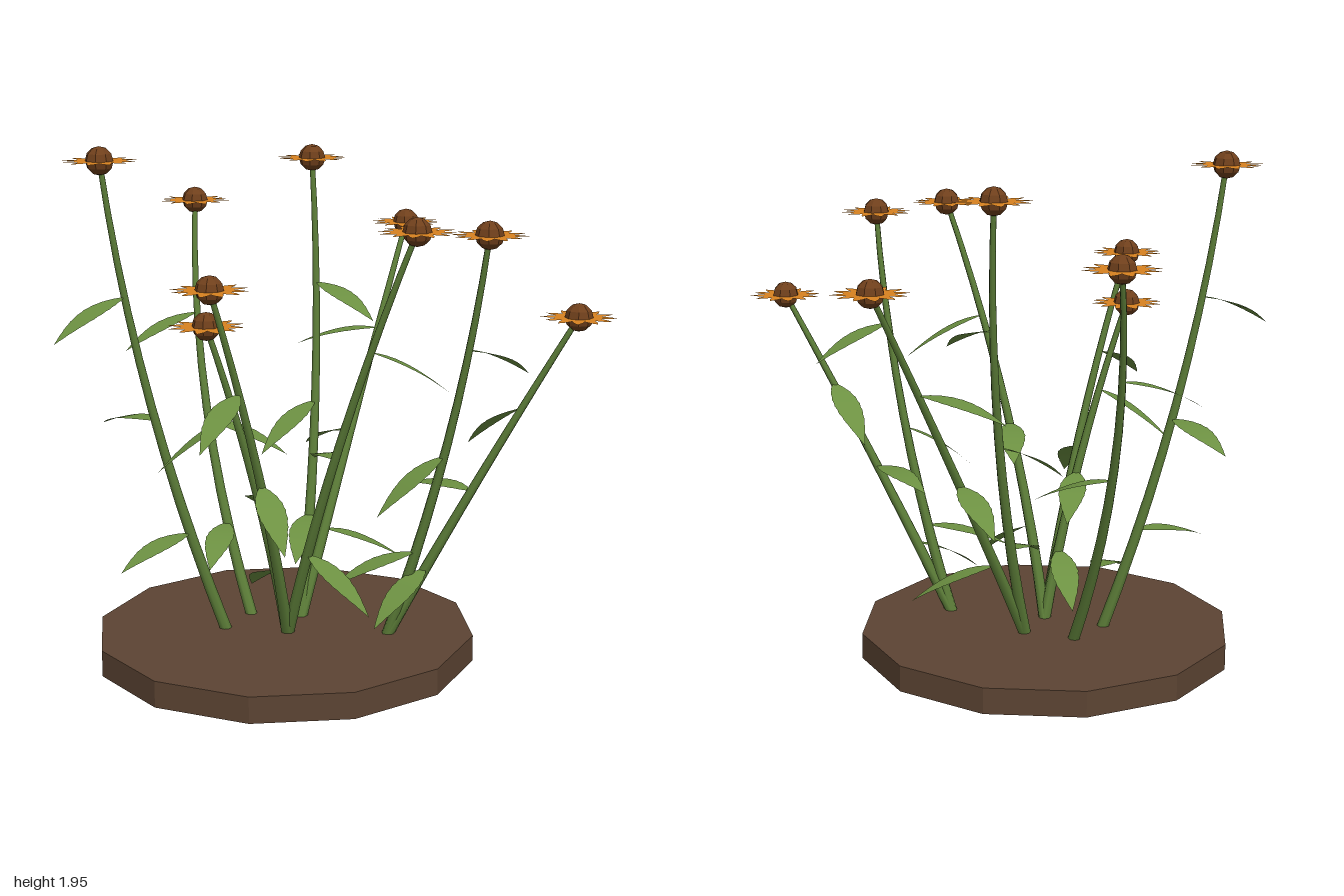
import * as THREE from 'three';

const mat = (name, color, opts = {}) => {
  const m = new THREE.MeshStandardMaterial({ color, ...opts });
  m.name = name;
  return m;
};

// Stems rise from five spots in the soil (x, z)
const leftFront = [-0.45, 0.17], leftBack = [-0.385, 0], middleFront = [-0.21, 0.18];
const middleBack = [-0.19, 0], right = [0.165, 0.14];

// head: flower position; bend: sideways bow of the stem (x, z);
// leaves from top to bottom: [heading in degrees, drop of the tip]
const plants = [
  { root: leftFront, head: [-0.85, 1.895, 0.335], bend: [-0.05, 0.02], leaves: [[127, 0.13], [220, 0.07], [126, 0.08]] },
  { root: leftBack, head: [-0.705, 1.64, -0.545], bend: [-0.065, 0.01], leaves: [[137, 0.12], [7, 0.12], [90, 0.09]] },
  { root: middleFront, head: [-0.39, 1.495, 0.64], bend: [0.035, 0.035], leaves: [[104, 0.145], [63, 0.18]] },
  { root: middleFront, head: [-0.445, 1.33, 0.455], bend: [0.03, 0.02], leaves: [[165, 0.2], [259, 0.12], [242, 0.15]] },
  { root: middleBack, head: [-0.21, 1.83, -0.433], bend: [0.025, -0.065], leaves: [[39, 0.11], [123, 0.16], [90, 0.1]] },
  { root: middleBack, head: [0.123, 1.54, -0.749], bend: [0, 0.015], leaves: [[182, 0.08], [227, 0.12], [340, 0.14]] },
  { root: middleFront, head: [0.305, 1.685, 0.465], bend: [-0.03, 0.045], leaves: [[340, 0.17], [248, 0.08], [31, 0.18]] },
  { root: right, head: [0.543, 1.655, 0.31], bend: [0.04, -0.02], leaves: [[309, 0.13], [141, 0.19], [152, 0.1]] },
  { root: right, head: [0.856, 1.335, 0.123], bend: [-0.01, 0], leaves: [[222, 0.19], [215, 0.035], [122, 0.16]] },
];
const leafSpots = [0.725, 0.465, 0.22];
const leafLength = 0.345;

function stemCurve({ root, head, bend }) {
  const a = new THREE.Vector3(root[0], 0.09, root[1]);
  const c = new THREE.Vector3(...head);
  const control = a.clone().lerp(c, 0.5).add(new THREE.Vector3(2 * bend[0], 0, 2 * bend[1]));
  return new THREE.QuadraticBezierCurve3(a, control, c);
}

// Tube that narrows towards the flower
function stemGeometry(curve) {
  const rings = 10, sides = 7;
  const geo = new THREE.TubeGeometry(curve, rings, 0.023, sides, false);
  const pos = geo.attributes.position, v = new THREE.Vector3();
  for (let i = 0; i < pos.count; i++) {
    const t = Math.floor(i / (sides + 1)) / rings;
    const centre = curve.getPointAt(t);
    v.fromBufferAttribute(pos, i).sub(centre).multiplyScalar(1 - 0.55 * t).add(centre);
    pos.setXYZ(i, v.x, v.y, v.z);
  }
  return geo;
}

// Arched, pointed leaf with a finely toothed edge
function leafGeometry(base, heading, drop) {
  const angle = THREE.MathUtils.degToRad(heading);
  const out = new THREE.Vector3(Math.cos(angle), 0, Math.sin(angle));
  const side = new THREE.Vector3(-out.z, 0, out.x);
  const tip = base.clone().addScaledVector(out, Math.sqrt(leafLength ** 2 - drop ** 2));
  tip.y -= drop;
  const control = base.clone().lerp(tip, 0.5);
  control.y += 0.045;
  const curve = new THREE.QuadraticBezierCurve3(base, control, tip);
  const n = 18, points = [], index = [];
  for (let i = 0; i <= n; i++) {
    const t = i / n, p = curve.getPoint(t);
    const w = 0.054 * Math.sin(Math.PI * Math.pow(t, 0.85)) * (i % 2 ? 0.94 : 1);
    for (const s of [-1, 0, 1]) {
      const q = p.clone().addScaledVector(side, s * w);
      points.push(q.x, q.y, q.z);
    }
    if (i === n) continue;
    for (let k = 0; k < 2; k++) {
      const j = i * 3 + k;
      index.push(j, j + 1, j + 3, j + 1, j + 4, j + 3);
    }
  }
  const geo = new THREE.BufferGeometry();
  geo.setAttribute('position', new THREE.Float32BufferAttribute(points, 3));
  geo.setIndex(index);
  geo.computeVertexNormals();
  return geo;
}

// Flat ring of twelve pointed petals
function petalGeometry() {
  const outline = [];
  const add = (deg, r) => {
    const t = THREE.MathUtils.degToRad(deg);
    outline.push(new THREE.Vector2(r * Math.cos(t), r * Math.sin(t)));
  };
  for (let d = 0; d < 360; d += 30) {
    add(d - 15, 0.084);
    add(d - 8, 0.112);
    add(d, 0.14);
    add(d + 8, 0.112);
  }
  return new THREE.ShapeGeometry(new THREE.Shape(outline)).rotateX(-Math.PI / 2);
}

export function createModel() {
  const model = new THREE.Group();
  model.name = 'flowerPatch';
  const soil = mat('soil brown', 0x5c4433, { flatShading: true });
  const stemGreen = mat('stem green', 0x5c7d38);
  const leafGreen = mat('leaf green', 0x6d9142, { side: THREE.DoubleSide });
  const orange = mat('petal orange', 0xd88220, { side: THREE.DoubleSide });
  const brown = mat('flower centre brown', 0x70401c, { flatShading: true });

  const add = (parent, name, geo, material) => {
    const mesh = new THREE.Mesh(geo, material);
    mesh.name = name;
    parent.add(mesh);
    return mesh;
  };

  // Twelve-sided bed of soil
  add(model, 'soilBed', new THREE.CylinderGeometry(0.72, 0.72, 0.1, 12), soil)
    .position.set(-0.23, 0.05, 0.125);

  const petals = petalGeometry();
  const centre = new THREE.SphereGeometry(0.052, 8, 6);

  for (const plant of plants) {
    const group = new THREE.Group();
    group.name = 'plant';
    const curve = stemCurve(plant);
    add(group, 'stem', stemGeometry(curve), stemGreen);
    plant.leaves.forEach(([heading, drop], i) => {
      add(group, 'leaf', leafGeometry(curve.getPoint(leafSpots[i]), heading, drop), leafGreen);
    });
    add(group, 'petals', petals, orange).position.set(...plant.head);
    add(group, 'flowerCentre', centre, brown).position.set(...plant.head);
    model.add(group);
  }
  return model;
}
